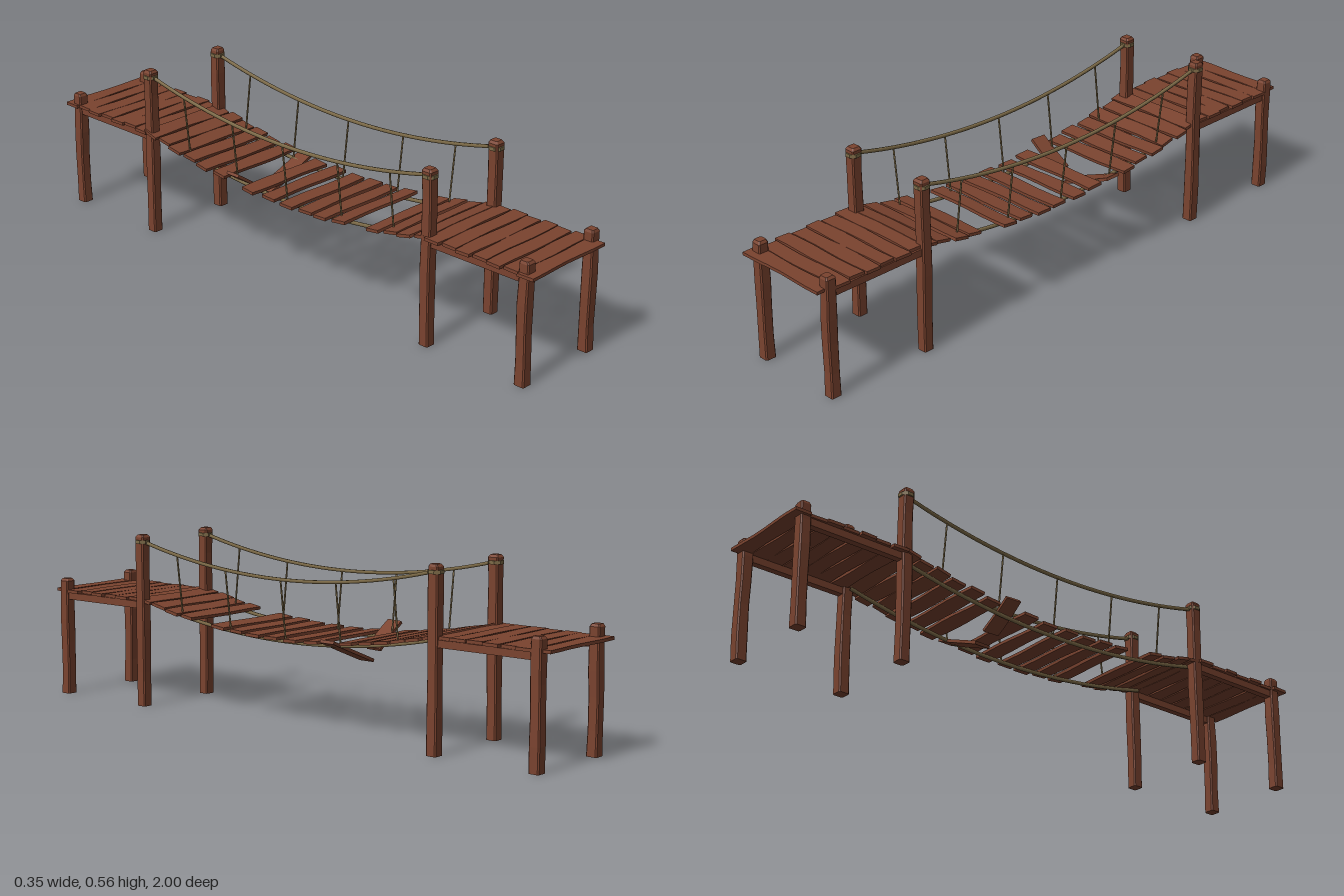
import * as THREE from 'three';

export function createModel() {
  const model = new THREE.Group();
  model.name = 'ropeBridge';

  const wood = new THREE.MeshStandardMaterial({ color: 0x7a432f });
  wood.name = 'weathered wood';
  const rope = new THREE.MeshStandardMaterial({ color: 0x7c6a47 });
  rope.name = 'hemp rope';

  // Small seeded generator, returns -1..1
  let seed = 17;
  const rand = () => {
    seed = (seed * 16807) % 2147483647;
    return (seed / 2147483647) * 2 - 1;
  };

  const add = (name, geometry, material, x = 0, y = 0, z = 0) => {
    const mesh = new THREE.Mesh(geometry, material);
    mesh.name = name;
    mesh.position.set(x, y, z);
    model.add(mesh);
    return mesh;
  };
  const flat = (geometry) => {
    const g = geometry.toNonIndexed();
    g.computeVertexNormals();
    return g;
  };

  // Plank: a board with wavy long edges and slightly skewed ends
  const plankGeometry = (length, width) => {
    const g = new THREE.BoxGeometry(length, 0.01, width, 6, 1, 1);
    const p = g.attributes.position;
    const a = rand() * 3, b = rand() * 3, skew = rand() * 0.05;
    for (let i = 0; i < p.count; i++) {
      const x = p.getX(i), z = p.getZ(i);
      const wave = Math.sin(x * 22 + (z > 0 ? a : b)) * 0.0025;
      p.setXYZ(i, x + z * skew, p.getY(i), z + wave);
    }
    return flat(g);
  };

  // Post: a chamfered square column, slightly uneven, with a bevelled top
  const postGeometry = (height) => {
    const g = new THREE.CylinderGeometry(1, 1, 1, 8, 6);
    g.rotateY(Math.PI / 8);
    const p = g.attributes.position;
    const a = rand() * 3, b = rand() * 3;
    const levels = [0, 0.2, 0.45, 0.65, 0.85];
    const snap = (v) => Math.abs(v) < 0.01 ? 0 : Math.sign(v) * (Math.abs(v) > 0.6 ? 1 : 0.78);
    for (let i = 0; i < p.count; i++) {
      const k = Math.round((p.getY(i) + 0.5) * 6);
      const y = k === 6 ? height : k === 5 ? height - 0.008 : levels[k] * height;
      const half = k === 6 ? 0.013 : 0.018 + Math.sin(k * 2 + a) * 0.0007;
      p.setXYZ(i,
        snap(p.getX(i)) * half + Math.sin(k * 1.3 + a) * 0.001, y,
        snap(p.getZ(i)) * half + Math.sin(k * 1.7 + b) * 0.001);
    }
    return flat(g);
  };

  const postX = [-0.146, 0.152];
  const span = 0.595;
  const deckRopeY = (z) => 0.272 + 0.07 * (z / span) ** 2;
  const railY = (z) => 0.468 + 0.075 * (z / span) ** 2;

  // Ropes follow a list of points
  const ropeGeometry = (points, radius, segments) =>
    new THREE.TubeGeometry(new THREE.CatmullRomCurve3(points), segments, radius, 6);
  const saggingRope = (x, heightAt) => {
    const points = [];
    for (let i = 0; i <= 12; i++) {
      const z = -span + (i / 12) * span * 2;
      points.push(new THREE.Vector3(x, heightAt(z), z));
    }
    return ropeGeometry(points, 0.006, 36);
  };

  postX.forEach((x, s) => {
    const side = s ? 'left' : 'right';
    const deckRopeX = x + (s ? -0.025 : 0.023);
    for (const end of [-1, 1]) {
      // Posts, rope bindings and the beams under each landing
      add(side + 'TallPost', postGeometry(0.565), wood, x, 0, end * 0.595);
      add(side + 'ShortPost', postGeometry(0.392), wood, x, 0, end * 0.955);
      const binding = new THREE.CylinderGeometry(0.025, 0.025, 0.011, 8);
      binding.rotateY(Math.PI / 8);
      add(side + 'RopeBinding', flat(binding), rope, x, 0.542, end * 0.595);
      add(side + 'LandingBeam', new THREE.BoxGeometry(0.022, 0.023, 0.36), wood,
        x, 0.334, end * 0.775);
    }
    // Hand rail, deck rope and hangers
    add(side + 'HandRope', saggingRope(x, railY), rope);
    add(side + 'DeckRope', saggingRope(deckRopeX, deckRopeY), rope);
    for (const z of [-0.44, -0.22, 0, 0.23, 0.44]) {
      add(side + 'HangerRope', ropeGeometry([
        new THREE.Vector3(x, railY(z), z),
        new THREE.Vector3(deckRopeX, deckRopeY(z), z),
      ], 0.003, 1), rope);
    }
  });

  // Landing planks, alternately shifted sideways
  for (const end of [-1, 1]) {
    for (let i = 0; i < 7; i++) {
      const shift = (i % 2 ? 0.002 : -0.007) + rand() * 0.001;
      add('landingPlank', plankGeometry(0.332, 0.053), wood,
        shift, 0.351 + rand() * 0.001, end * (0.627 + i * 0.0572));
    }
  }

  // Hanging planks, tilted along the sag, with one missing
  const hanging = [-0.58, -0.522, -0.465, -0.402, -0.337, -0.27, -0.127, -0.047,
    0.038, 0.11, 0.18, 0.252, 0.395, 0.456, 0.52, 0.578];
  hanging.forEach((z, i) => {
    const shift = (i % 2 ? 0.002 : -0.006) + rand() * 0.002;
    const plank = add('hangingPlank', plankGeometry(0.33, 0.053), wood,
      shift, deckRopeY(z) + 0.01, z);
    plank.rotation.x = -Math.atan((0.14 * z) / span ** 2) + rand() * 0.03;
    plank.rotation.y = rand() * 0.015;
  });

  // Snapped plank: two halves drooping from the deck ropes
  const rightHalf = add('snappedPlankRight', plankGeometry(0.132, 0.055), wood, -0.114, 0.284, -0.198);
  rightHalf.rotation.z = -0.6;
  const leftHalf = add('snappedPlankLeft', plankGeometry(0.205, 0.055), wood, 0.07, 0.257, -0.198);
  leftHalf.rotation.z = 0.39;

  return model;
}
